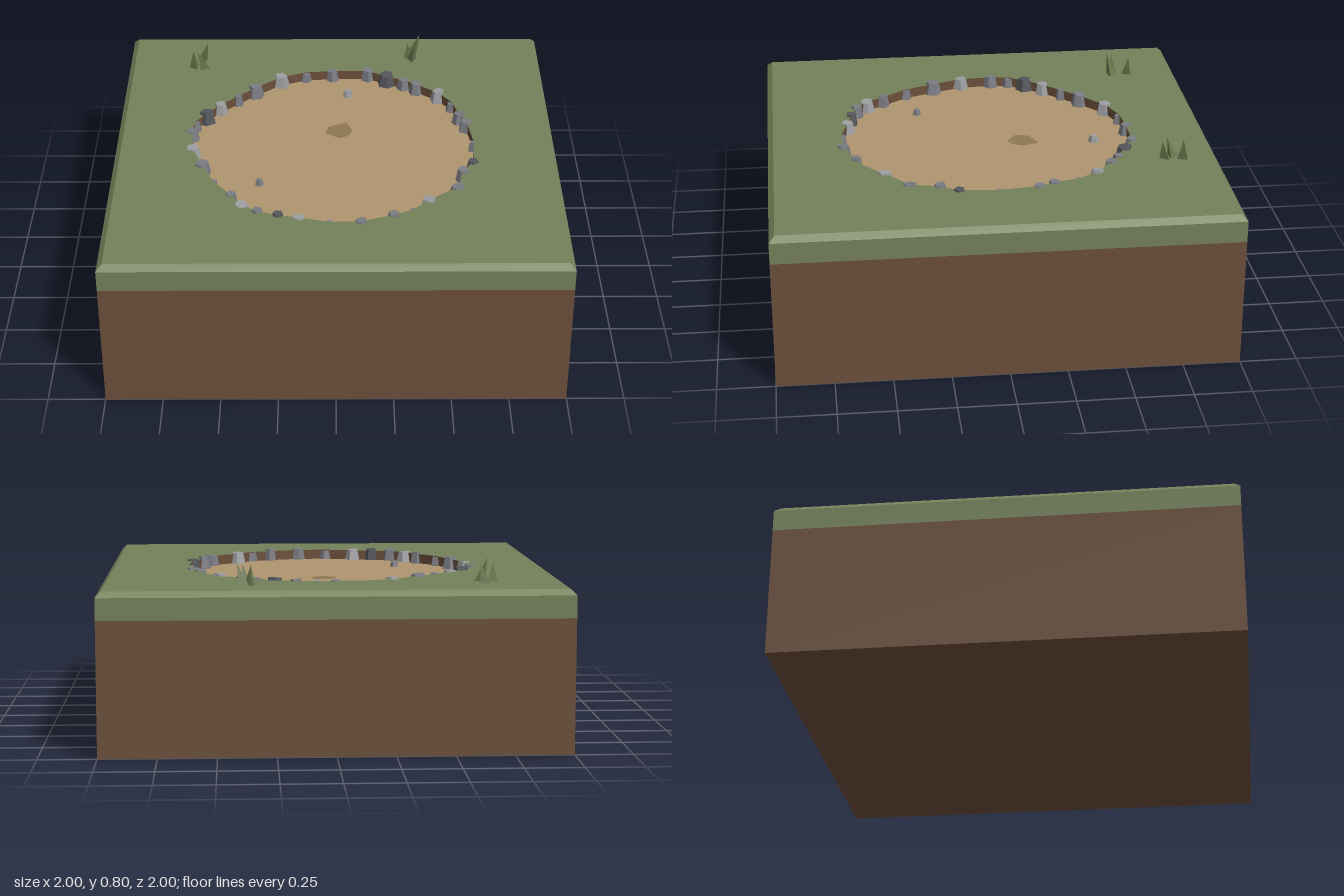
import * as THREE from 'three';

const mat = (color, side = THREE.FrontSide) =>
  new THREE.MeshStandardMaterial({ color, flatShading: true, side });
const SOIL = mat(0x6b4f3b, THREE.DoubleSide), GRASS = mat(0x748159), SAND = mat(0xb0956e);
const PATCH = mat(0x8f7755), BLADE = mat(0x66744b, THREE.DoubleSide);
const STONES = [mat(0x55555d), mat(0x7b7c83), mat(0x9c9da0)];
const TOP = 0.70, FLOOR = 0.655;

// Main stones around the pit: x, z, radius
const RING = [
  [0.62, 0.18, 0.036], [0.57, 0.26, 0.035], [0.54, 0.39, 0.043], [0.41, 0.49, 0.042],
  [0.25, 0.61, 0.033], [0.11, 0.66, 0.037], [-0.16, 0.63, 0.041], [-0.25, 0.61, 0.032],
  [-0.34, 0.58, 0.035], [-0.41, 0.53, 0.043], [-0.46, 0.45, 0.032], [-0.6, 0.2, 0.043],
  [-0.65, 0.06, 0.041], [-0.66, -0.09, 0.038], [-0.6, -0.25, 0.045], [-0.54, -0.33, 0.038],
  [-0.46, -0.41, 0.028], [-0.38, -0.49, 0.043], [-0.26, -0.59, 0.042], [-0.01, -0.65, 0.034],
  [0.16, -0.65, 0.036], [0.25, -0.6, 0.045], [0.33, -0.56, 0.034], [0.39, -0.52, 0.038],
  [0.49, -0.44, 0.039], [0.58, -0.24, 0.036], [0.61, -0.17, 0.041],
];

// Wide gaps between main stones bulge outward and hold a small sunken stone
const rim = [], gaps = [];
RING.forEach(([x, z], i) => {
  const [u, w] = RING[(i + 1) % RING.length];
  rim.push([x, z]);
  if (Math.hypot(u - x, w - z) > 0.17) {
    const mid = [(x + u) * 0.515, (z + w) * 0.515];
    rim.push(mid);
    gaps.push(mid);
  }
});

function mesh(name, geometry, material, parent) {
  const m = new THREE.Mesh(geometry, material);
  m.name = name;
  parent.add(m);
  return m;
}

function group(name, parent) {
  const g = new THREE.Group();
  g.name = name;
  parent.add(g);
  return g;
}

const flatPoints = (pts) => pts.map(([x, z]) => new THREE.Vector2(x, -z));

// Horizontal sheet facing up
const sheet = (shape, y) =>
  new THREE.ShapeGeometry(shape).rotateX(-Math.PI / 2).translate(0, y, 0);

// Square band with different half widths at top and bottom
const band = (topHalf, bottomHalf, y0, y1) =>
  new THREE.CylinderGeometry(topHalf * Math.SQRT2, bottomHalf * Math.SQRT2, y1 - y0, 4, 1, true)
    .rotateY(Math.PI / 4).translate(0, (y0 + y1) / 2, 0);

// Vertical wall following a closed outline
function wall(pts, y0, y1) {
  const pos = [];
  pts.forEach(([x, z], i) => {
    const [u, w] = pts[(i + 1) % pts.length];
    pos.push(x, y0, z, x, y1, z, u, y1, w, x, y0, z, u, y1, w, u, y0, w);
  });
  const g = new THREE.BufferGeometry();
  g.setAttribute('position', new THREE.Float32BufferAttribute(pos, 3));
  g.computeVertexNormals();
  return g;
}

// Faceted stone with a slightly sloping top, standing on the pit floor
function stone(name, parent, x, z, r, top, tone, i) {
  const h = top - FLOOR + 0.005;
  const g = new THREE.CylinderGeometry(r * 0.68, r, h, 5 + (i % 2), 1);
  const p = g.attributes.position;
  for (let k = 0; k < p.count; k++) {
    if (p.getY(k) > 0) p.setY(k, p.getY(k) + p.getX(k) * 0.12 * Math.sin(i * 2.3));
  }
  g.rotateY(i * 1.7);
  g.computeVertexNormals();
  mesh(name, g, STONES[tone], parent).position.set(x, top - h / 2, z);
}

// Three-sided blade whose tip leans away from its base
function blade(parent, x, z, leanX, leanZ, height, turn) {
  const g = new THREE.ConeGeometry(0.03, height, 3, 1).rotateY(turn).translate(0, height / 2, 0);
  const p = g.attributes.position;
  for (let k = 0; k < p.count; k++) {
    const t = p.getY(k) / height;
    p.setX(k, p.getX(k) + t * leanX);
    p.setZ(k, p.getZ(k) + t * leanZ);
  }
  g.computeVertexNormals();
  mesh('grassBlade', g, BLADE, parent).position.set(x, TOP - 0.01, z);
}

export function createModel() {
  const model = new THREE.Group();
  model.name = 'sandPitTile';

  // Soil block
  mesh('soil', new THREE.BoxGeometry(2, 0.58, 2).translate(0, 0.29, 0), SOIL, model);

  // Turf: side band, bevel and top with the pit cut out
  const turf = group('turf', model);
  const e = 0.975;
  mesh('turfSide', band(1, 1, 0.58, 0.675), GRASS, turf);
  mesh('turfBevel', band(e, 1, 0.675, TOP), GRASS, turf);
  const lawn = new THREE.Shape(flatPoints([[-e, e], [e, e], [e, -e], [-e, -e]]));
  lawn.holes.push(new THREE.Path(flatPoints(rim)));
  mesh('turfTop', sheet(lawn, TOP), GRASS, turf);

  // Pit with a darker patch on its floor
  mesh('pitWall', wall(rim, FLOOR, TOP), SOIL, model);
  mesh('pitFloor', sheet(new THREE.Shape(flatPoints(rim)), FLOOR), SAND, model);
  const patch = [[-0.03, -0.2], [0.055, -0.235], [0.08, -0.165], [0.06, -0.115], [0.02, -0.095], [-0.045, -0.14]];
  mesh('floorPatch', sheet(new THREE.Shape(flatPoints(patch)), FLOOR + 0.002), PATCH, model);

  // Stones around the rim, every seventh one dark
  const ring = group('rimStones', model);
  RING.forEach(([x, z, r], i) => {
    const tone = i % 7 ? 1 + (i % 3 === 0) : 0;
    stone('rimStone', ring, x, z, r, 0.708 + 0.004 * Math.sin(i * 1.9), tone, i);
  });
  gaps.forEach(([x, z], i) => stone('sunkenStone', ring, x, z, 0.03, 0.696, 1, i));

  // Loose pebbles on the pit floor
  stone('pebble', model, 0.06, -0.49, 0.026, 0.685, 2, 3);
  stone('pebble', model, -0.34, 0.295, 0.022, 0.68, 1, 6);

  // Two tufts of leaning grass blades
  const left = group('grassTuft', model), right = group('grassTuft', model);
  blade(right, -0.68, -0.69, -0.005, 0, 0.095, 0.4);
  blade(right, -0.63, -0.685, -0.035, 0.02, 0.11, 1.3);
  blade(right, -0.645, -0.76, 0.025, -0.005, 0.1, 2.3);
  blade(left, 0.385, -0.84, 0.03, 0.005, 0.11, 0.3);
  blade(left, 0.36, -0.8, -0.005, 0.025, 0.095, 1.2);
  blade(left, 0.375, -0.765, 0.015, 0.02, 0.095, 2.1);
  return model;
}
